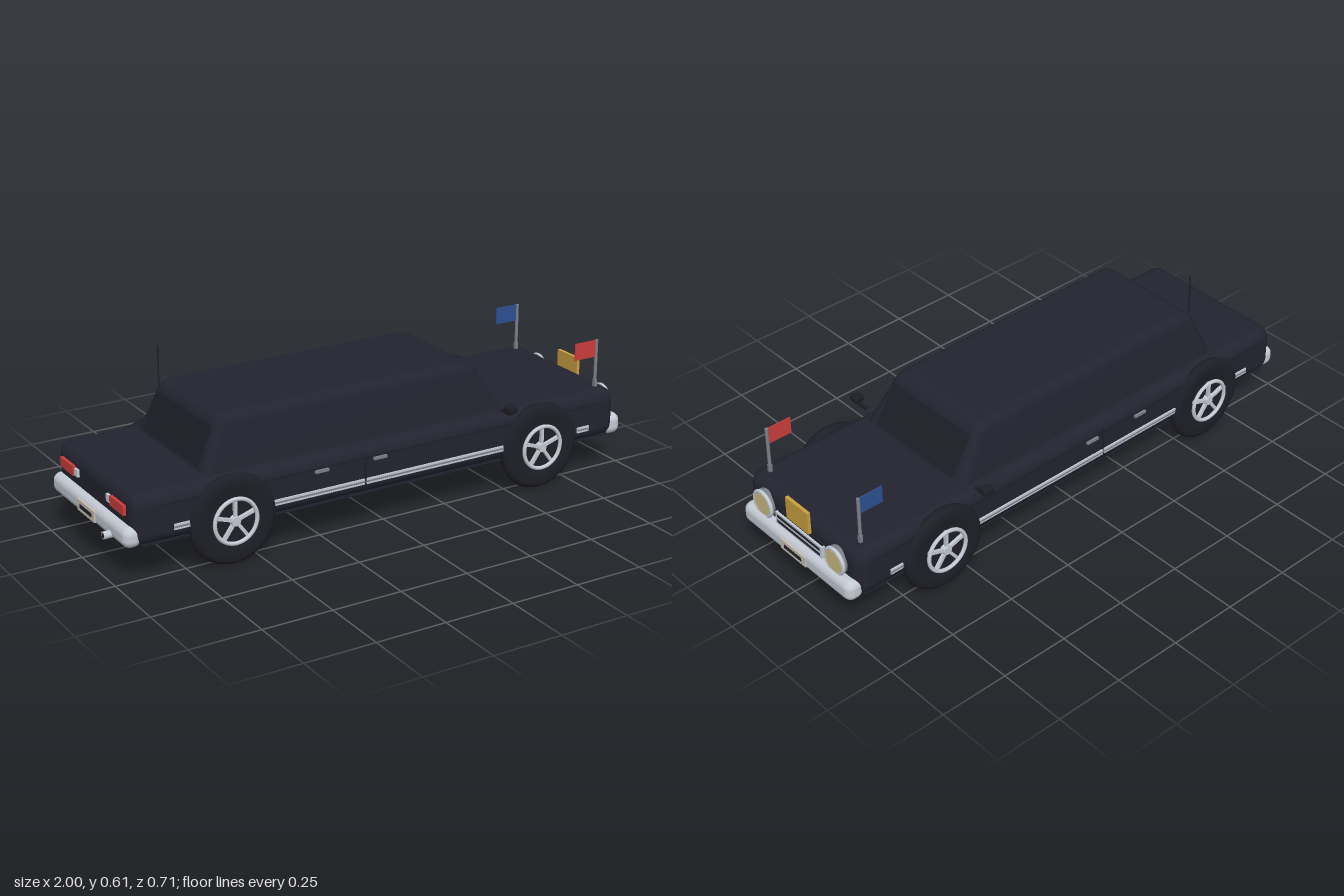
import * as THREE from 'three';
import { mergeVertices } from 'three/addons/utils/BufferGeometryUtils.js';
import { RoundedBoxGeometry } from 'three/addons/geometries/RoundedBoxGeometry.js';

const mat = (name, color, side = THREE.FrontSide) => {
  const m = new THREE.MeshStandardMaterial({ color, side });
  m.name = name;
  return m;
};

export function createModel() {
  const car = new THREE.Group();
  car.name = 'limousine';
  const paint = mat('black paint', 0x232330);
  const rubber = mat('dark rubber', 0x1e1e27);
  const chrome = mat('chrome', 0xc4cad4);
  const steel = mat('grey steel', 0x7c808a);
  const lens = mat('cream lens', 0xcdbb86);
  const gold = mat('gold', 0xc9a040);
  const red = mat('red', 0xcc3c3c, THREE.DoubleSide);
  const blue = mat('blue', 0x2c5090, THREE.DoubleSide);
  const plateMat = mat('beige plate', 0xcac0b4);

  const add = (name, geo, m, x = 0, y = 0, z = 0, parent = car) => {
    const mesh = new THREE.Mesh(geo, m);
    mesh.name = name;
    mesh.position.set(x, y, z);
    parent.add(mesh);
    return mesh;
  };
  const box = (name, m, w, h, d, x, y, z, parent) =>
    add(name, new THREE.BoxGeometry(w, h, d), m, x, y, z, parent);
  const rbox = (name, m, w, h, d, r, x, y, z) =>
    add(name, new RoundedBoxGeometry(w, h, d, 5, r), m, x, y, z);
  // Cylinder along the x axis
  const discX = (name, m, r, len, x, y, z) => {
    const c = add(name, new THREE.CylinderGeometry(r, r, len, 32), m, x, y, z);
    c.rotation.z = Math.PI / 2;
    return c;
  };

  // Lower body
  rbox('body', paint, 1.9, 0.18, 0.59, 0.045, 0.003, 0.218, 0);
  box('floor', paint, 1.84, 0.03, 0.56, 0.005, 0.144, 0);

  // Cabin: rounded box tapered towards the roof
  const y0 = 0.25, y1 = 0.487;
  let cabin = new RoundedBoxGeometry(2, y1 - y0, 0.5, 5, 0.035);
  const p = cabin.attributes.position;
  const lerp = THREE.MathUtils.lerp;
  for (let i = 0; i < p.count; i++) {
    const y = p.getY(i) + (y0 + y1) / 2;
    const t = (y - 0.305) / (y1 - 0.305);
    const left = lerp(-0.675, -0.6, t), right = lerp(0.495, 0.378, t);
    // keep corner radius unscaled by measuring from the nearest end
    const x = p.getX(i);
    const nx = x < 0 ? left + (x + 1) : right + (x - 1);
    p.setXYZ(i, nx, y, p.getZ(i) * lerp(1, 0.84, t));
  }
  cabin.deleteAttribute('normal');
  cabin.deleteAttribute('uv');
  cabin = mergeVertices(cabin, 1e-5);
  cabin.computeVertexNormals();
  add('cabin', cabin, paint);

  // Windscreen and rear window: thin sloping panes
  const pane = (name, xb, xt) => {
    const g = new THREE.BoxGeometry(0.006, Math.hypot(xt - xb, 0.13), 0.39);
    add(name, g, rubber, (xb + xt) / 2, 0.382, 0).rotation.z = Math.atan2(xb - xt, 0.13);
  };
  pane('windscreen', 0.487, 0.403);
  pane('rearWindow', -0.669, -0.615);

  // Wheel pieces, facing +z
  const tyreProfile = [[0.07, -0.018], [0.1, -0.02], [0.138, -0.02], [0.152, -0.013], [0.157, 0],
    [0.152, 0.013], [0.138, 0.02], [0.105, 0.02], [0.1, 0.014], [0.07, 0.014]]
    .map(([r, h]) => new THREE.Vector2(r, h));
  const tyreGeo = new THREE.LatheGeometry(tyreProfile, 48).rotateX(Math.PI / 2);
  const drumGeo = new THREE.CylinderGeometry(0.122, 0.122, 0.08, 32).rotateX(Math.PI / 2);
  const rimGeo = new THREE.TorusGeometry(0.077, 0.007, 10, 40);
  const hubGeo = new THREE.CylinderGeometry(0.016, 0.018, 0.02, 20).rotateX(Math.PI / 2);
  const makeWheel = (name, x, s) => {
    const w = new THREE.Group();
    w.name = name;
    w.position.set(x, 0.16, s * 0.292);
    if (s < 0) w.rotation.y = Math.PI;
    add('tyre', tyreGeo, rubber, 0, 0, 0, w);
    add('drum', drumGeo, rubber, 0, 0, -0.035, w);
    add('rim', rimGeo, chrome, 0, 0, 0.026, w);
    add('hub', hubGeo, chrome, 0, 0, 0.02, w);
    for (let i = 0; i < 5; i++) {
      const a = Math.PI / 2 + i * Math.PI * 2 / 5;
      const spoke = box('spoke', chrome, 0.068, 0.011, 0.012, Math.cos(a) * 0.042, Math.sin(a) * 0.042, 0.02, w);
      spoke.rotation.z = a;
    }
    for (let i = 0; i < 20; i++) {
      const a = i * Math.PI / 10;
      const tread = box('tread', rubber, 0.008, 0.02, 0.05, Math.cos(a) * 0.122, Math.sin(a) * 0.122, -0.052, w);
      tread.rotation.z = a;
    }
    car.add(w);
  };

  for (const s of [1, -1]) {
    const side = s > 0 ? 'left' : 'right';
    makeWheel(side + 'FrontWheel', 0.613, s);
    makeWheel(side + 'RearWheel', -0.6, s);

    // Side trim, crease, door seam and handles
    for (const [a, b] of [[-0.81, -0.755], [-0.45, -0.104], [-0.096, 0.46], [0.78, 0.83]]) {
      box('sideTrim', chrome, b - a, 0.02, 0.008, (a + b) / 2, 0.181, s * 0.296);
      box('sideTrimGroove', steel, b - a, 0.006, 0.002, (a + b) / 2, 0.181, s * 0.3003);
    }
    box('sideCrease', rubber, 1.71, 0.006, 0.006, 0.005, 0.264, s * 0.294);
    box('doorSeam', rubber, 0.005, 0.12, 0.004, -0.1, 0.215, s * 0.295);
    for (const x of [-0.27, -0.045]) box('doorHandle', steel, 0.05, 0.01, 0.012, x, 0.257, s * 0.299);

    // Wing mirror
    box('mirrorArm', rubber, 0.012, 0.01, 0.055, 0.46, 0.32, s * 0.312);
    box('mirrorStem', rubber, 0.012, 0.03, 0.01, 0.46, 0.33, s * 0.334);
    rbox('mirror', rubber, 0.04, 0.028, 0.036, 0.01, 0.46, 0.338, s * 0.335);

    // Headlight
    discX('headlightHousing', steel, 0.049, 0.05, 0.94, 0.239, s * 0.19);
    const ring = add('headlightRing', new THREE.TorusGeometry(0.045, 0.007, 10, 40), chrome, 0.967, 0.239, s * 0.19);
    ring.rotation.y = Math.PI / 2;
    discX('headlightLens', lens, 0.04, 0.01, 0.968, 0.239, s * 0.19);

    // Tail light and reversing lamp
    box('tailLight', red, 0.02, 0.034, 0.1, -0.948, 0.248, s * 0.19);
    box('reversingLamp', chrome, 0.02, 0.026, 0.025, -0.946, 0.248, s * 0.122);

    // Wing flag on its pole
    add('flagPole', new THREE.CylinderGeometry(0.006, 0.006, 0.15, 12), steel, 0.897, 0.407, s * 0.238);
    box('flagPoleFoot', steel, 0.012, 0.04, 0.012, 0.897, 0.315, s * 0.238);
    box('flag', s > 0 ? red : blue, 0.09, 0.062, 0.004, 0.848, 0.451, s * 0.238);
  }

  // Bumpers
  rbox('frontBumper', chrome, 0.068, 0.076, 0.57, 0.028, 0.956, 0.163, 0);
  rbox('rearBumper', chrome, 0.065, 0.072, 0.57, 0.028, -0.943, 0.165, 0);

  // Number plates
  for (const [x, s] of [[0.991, 1], [-0.976, -1]]) {
    box('numberPlate', plateMat, 0.008, 0.04, 0.13, x, 0.165, 0);
    box('plateBar', paint, 0.002, 0.014, 0.09, x + s * 0.0045, 0.165, 0);
  }

  // Grille with dark slots
  box('grille', chrome, 0.035, 0.046, 0.245, 0.95, 0.225, 0);
  box('grilleTop', rubber, 0.03, 0.01, 0.235, 0.945, 0.253, 0);
  for (const y of [0.236, 0.215]) box('grilleSlot', paint, 0.003, 0.009, 0.225, 0.968, y, 0);

  // Gold bonnet plaque
  box('bonnetPlaque', gold, 0.012, 0.085, 0.116, 0.962, 0.305, 0);

  // Exhaust and aerial
  discX('exhaust', chrome, 0.013, 0.08, -0.96, 0.148, 0.172);
  discX('exhaustOpening', rubber, 0.009, 0.004, -0.999, 0.148, 0.172);
  add('aerial', new THREE.CylinderGeometry(0.0025, 0.0025, 0.15, 8), rubber, -0.615, 0.537, -0.182);
  return car;
}
